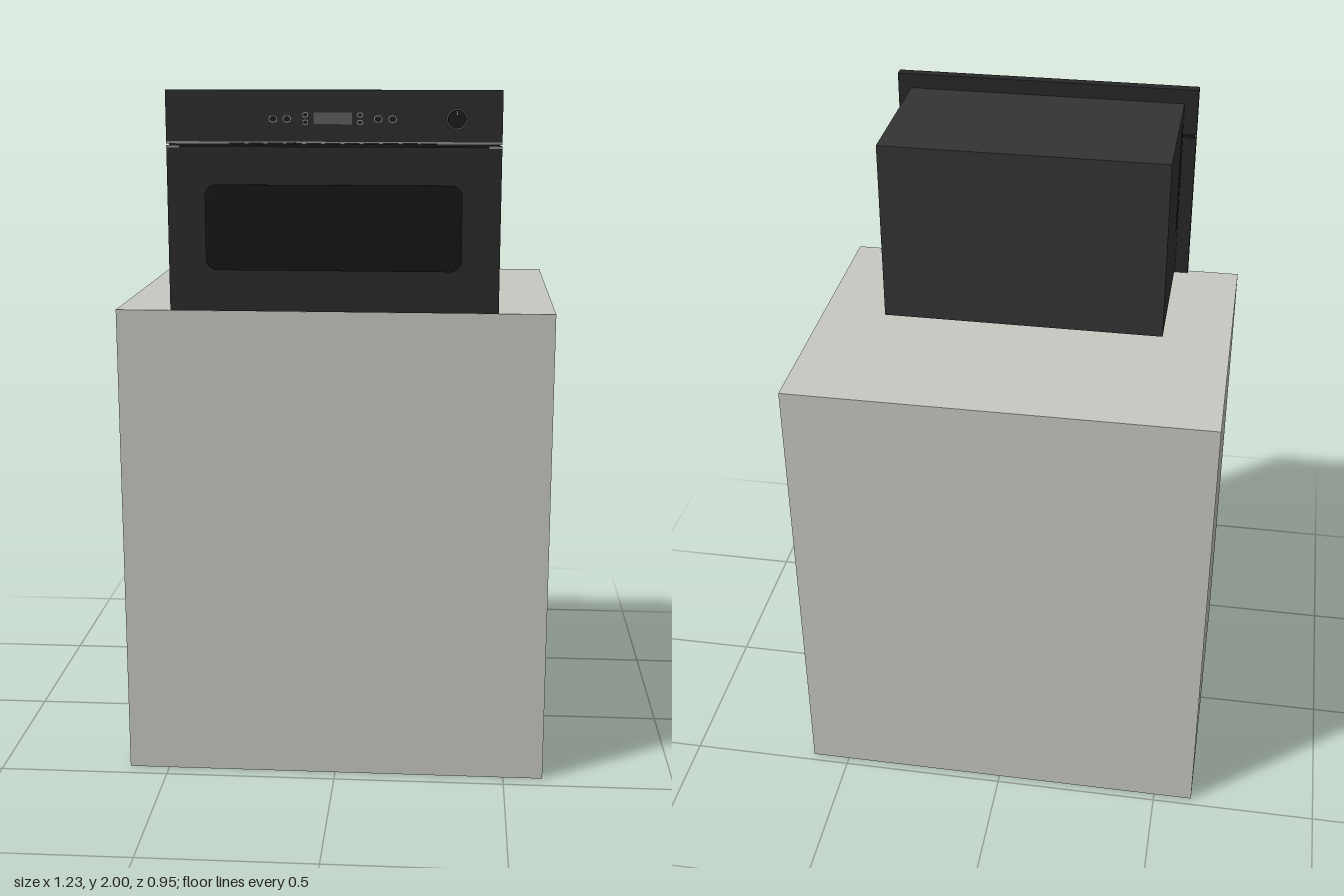
import * as THREE from 'three';

const mat = (color) => new THREE.MeshStandardMaterial({ color });
const stone = mat(0xc8c8c2), casing = mat(0x343434), panel = mat(0x282828);
const glass = mat(0x101010), metal = mat(0x8c8c8c), dark = mat(0x161616), screen = mat(0x5c5c5c);

export function createModel() {
  const model = new THREE.Group();
  const add = (name, geometry, material, x = 0, y = 0, z = 0) => {
    const mesh = new THREE.Mesh(geometry, material);
    mesh.name = name;
    mesh.position.set(x, y, z);
    model.add(mesh);
    return mesh;
  };
  // Box given by its limits on each axis
  const box = (name, material, x0, x1, y0, y1, z0, z1) =>
    add(name, new THREE.BoxGeometry(x1 - x0, y1 - y0, z1 - z0), material,
      (x0 + x1) / 2, (y0 + y1) / 2, (z0 + z1) / 2);
  // Rounded rectangle outline centred on the origin
  const rounded = (w, h, r, Type = THREE.Shape) => {
    const s = new Type(), x = w / 2 - r, y = h / 2 - r;
    s.absarc(x, y, r, 0, Math.PI / 2);
    s.absarc(-x, y, r, Math.PI / 2, Math.PI);
    s.absarc(-x, -y, r, Math.PI, Math.PI * 1.5);
    s.absarc(x, -y, r, Math.PI * 1.5, Math.PI * 2);
    s.closePath();
    return s;
  };
  const plate = (shape, depth) =>
    new THREE.ExtrudeGeometry(shape, { depth, bevelEnabled: false, curveSegments: 8 });

  // Support block and oven casing
  box('cabinetBlock', stone, -0.618, 0.616, 0, 1.392, -0.475, 0.455);
  box('ovenCasing', casing, -0.419, 0.417, 1.413, 1.956, -0.021, 0.437);

  // Front: door, control panel and the recessed gap between them
  box('door', panel, -0.46, 0.457, 1.394, 1.848, 0.435, 0.466);
  box('controlPanel', panel, -0.46, 0.457, 1.862, 2, 0.435, 0.466);
  box('gapBacking', dark, -0.455, 0.452, 1.846, 1.864, 0.436, 0.452);
  box('trimStrip', metal, -0.46, 0.457, 1.855, 1.862, 0.445, 0.466);
  for (const side of [-1, 1]) {
    const x = side * 0.441 - 0.0015;
    box('hingeCover', metal, x - 0.018, x + 0.018, 1.845, 1.851, 0.446, 0.467);
  }
  // Air outlets along the middle of the trim
  for (let i = 0; i < 11; i++) {
    const x = -0.265 + i * 0.0525;
    box('airOutlet', dark, x - 0.021, x + 0.021, 1.854, 1.859, 0.46, 0.4665);
  }

  // Door window
  add('window', plate(rounded(0.708, 0.236, 0.032), 0.008), glass, -0.002, 1.627, 0.462);

  // Display and buttons, each button a dark key in a thin metal rim
  box('display', screen, -0.054, 0.05, 1.909, 1.94, 0.46, 0.4672);
  const button = (x, y, w, h) => {
    const rim = rounded(w, h, h * 0.45);
    rim.holes.push(rounded(w - 0.005, h - 0.005, (h - 0.005) * 0.45, THREE.Path));
    add('buttonRim', plate(rim, 0.007), metal, x, y, 0.462);
    add('buttonKey', plate(rounded(w - 0.005, h - 0.005, (h - 0.005) * 0.45), 0.006), dark, x, y, 0.462);
  };
  for (const x of [-0.165, -0.127, 0.121, 0.16]) button(x, 1.923, 0.023, 0.019);
  for (const x of [-0.077, 0.072])
    for (const y of [1.914, 1.934]) button(x, y, 0.016, 0.014);

  // Rotary knob with a metal ring and pointer
  add('knob', new THREE.CylinderGeometry(0.024, 0.025, 0.02, 32), dark, 0.334, 1.923, 0.464).rotation.x = Math.PI / 2;
  add('knobRing', new THREE.TorusGeometry(0.026, 0.0015, 6, 32), metal, 0.334, 1.923, 0.4665);
  box('knobPointer', metal, 0.3325, 0.3355, 1.935, 1.945, 0.47, 0.4746);

  // Cooling slots on the right flank
  for (let i = 0; i < 14; i++) {
    const y = 1.58 + i * 0.024;
    box('coolingSlot', dark, -0.42, -0.41, y, y + 0.009, 0.345, 0.4);
  }
  return model;
}
